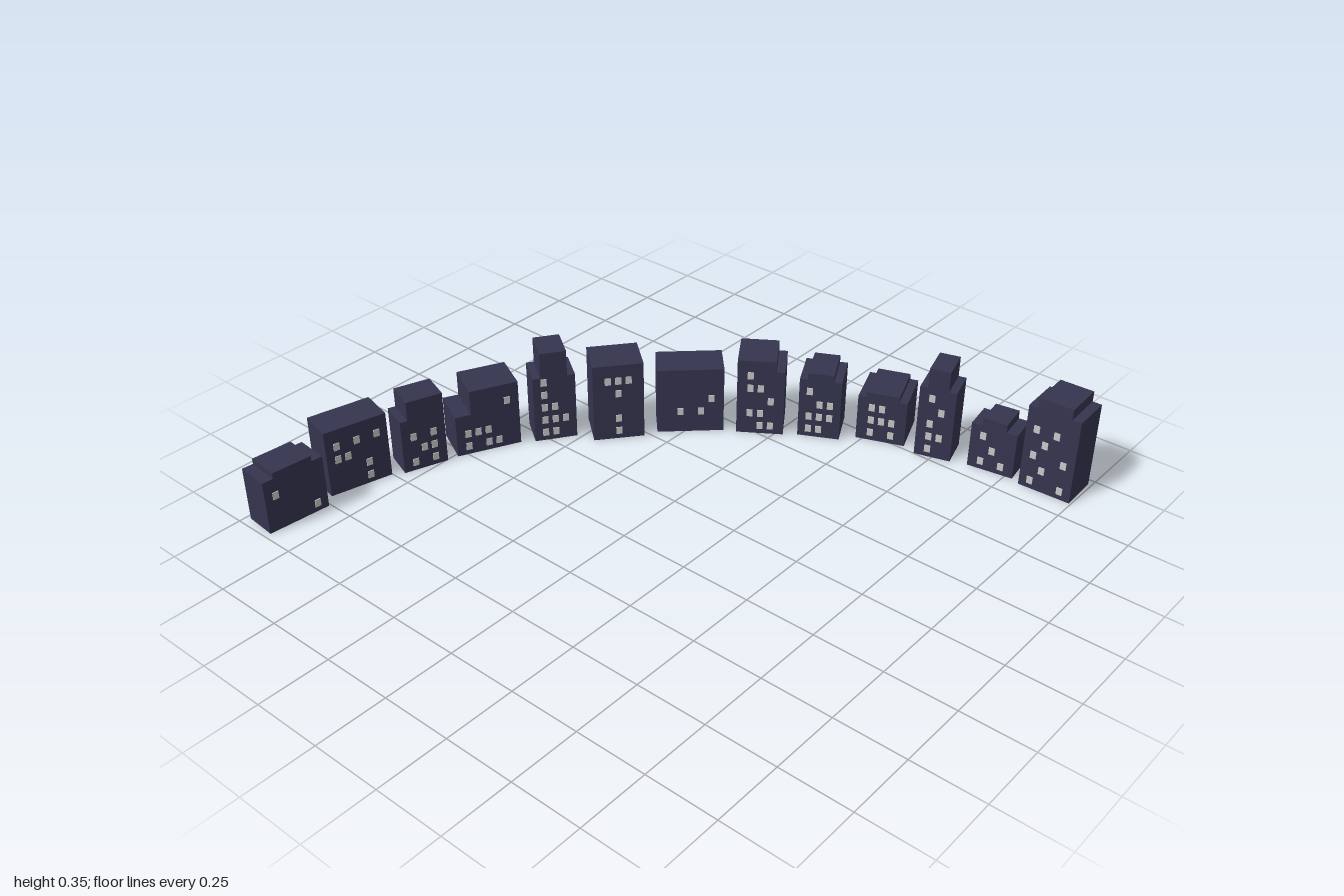
import * as THREE from 'three';

// x, z, turn (deg), width, depth, height, upper [top height, width, offset],
// window rows from the ground up (x = lit window)
const BUILDINGS = [
  [-0.862, -0.915, 5.4, 0.223, 0.117, 0.195, [0.215, 0.143, 0], ['....x', '.....', 'x....']],
  [-0.594, -0.913, 14, 0.223, 0.122, 0.245, null, ['...x.', '...x.', 'xx...', 'x.x.x']],
  [-0.376, -0.823, 19.6, 0.157, 0.107, 0.2, [0.27, 0.13, 0.0135], ['x.x', '.xx', 'x.x']],
  [-0.148, -0.751, 26, 0.228, 0.143, 0.155, [0.245, 0.172, 0.028], ['x.xx.', 'xxx..', '.....', '....x']],
  [0.053, -0.608, 34.5, 0.148, 0.118, 0.25, [0.345, 0.093, 0], ['xx.', 'xxx', 'xx.', 'x..', 'x..']],
  [0.209, -0.45, 39, 0.177, 0.143, 0.293, null, ['.x.', '.x.', '...', '.x.', 'xxx']],
  [0.407, -0.28, 46.5, 0.232, 0.131, 0.248, null, ['.....', '.x.x.', '....x']],
  [0.569, -0.085, 56, 0.164, 0.152, 0.25, [0.29, 0.134, -0.015], ['.xx', 'xx.', '..x', 'xx.', 'x..']],
  [0.683, 0.095, 62.5, 0.146, 0.145, 0.227, [0.253, 0.09, 0], ['xx.', 'xxx', '.xx', 'x..']],
  [0.813, 0.279, 69, 0.172, 0.168, 0.17, [0.19, 0.115, 0], ['x.x', 'xxx', 'xx.']],
  [0.825, 0.484, 73.5, 0.127, 0.116, 0.27, [0.345, 0.072, 0], ['x.', 'xx', 'x.', '.x', 'x.']],
  [0.876, 0.688, 81, 0.162, 0.107, 0.17, [0.2, 0.085, 0], ['x.x', '.x.', 'x..']],
  [0.9, 0.897, 87.5, 0.186, 0.144, 0.312, [0.35, 0.12, 0], ['x..x', '.x..', 'x..x', '.x..', 'x.x.']],
];

const COLUMN = 0.036, ROW = 0.05, FIRST_ROW = 0.032;

export function createModel() {
  const wall = new THREE.MeshStandardMaterial({ color: 0x35344f });
  wall.name = 'dark wall';
  const pane = new THREE.MeshStandardMaterial({ color: 0xc8c8c8 });
  pane.name = 'lit window';
  const paneGeometry = new THREE.BoxGeometry(0.021, 0.027, 0.004);

  const block = (name, w, h, d, x, y) => {
    const mesh = new THREE.Mesh(new THREE.BoxGeometry(w, h, d), wall);
    mesh.name = name;
    mesh.position.set(x, y + h / 2, 0);
    return mesh;
  };

  const model = new THREE.Group();
  model.name = 'curvedSkyline';
  BUILDINGS.forEach(([x, z, turn, w, d, h, upper, rows], i) => {
    const building = new THREE.Group();
    building.name = `building${i + 1}`;
    building.position.set(x, 0, z);
    building.rotation.y = -THREE.MathUtils.degToRad(turn);

    // Main block and the raised block on its roof
    building.add(block('mainBlock', w, h, d, 0, 0));
    if (upper) {
      const [top, upperWidth, offset] = upper;
      building.add(block('upperBlock', upperWidth, top - h, d, offset, h));
    }

    // Lit windows on the face towards the inside of the curve
    rows.forEach((row, r) => [...row].forEach((c, k) => {
      if (c !== 'x') return;
      const window = new THREE.Mesh(paneGeometry, pane);
      window.name = 'window';
      window.position.set((k - (row.length - 1) / 2) * COLUMN, FIRST_ROW + r * ROW, d / 2 + 0.001);
      building.add(window);
    }));
    model.add(building);
  });
  return model;
}
